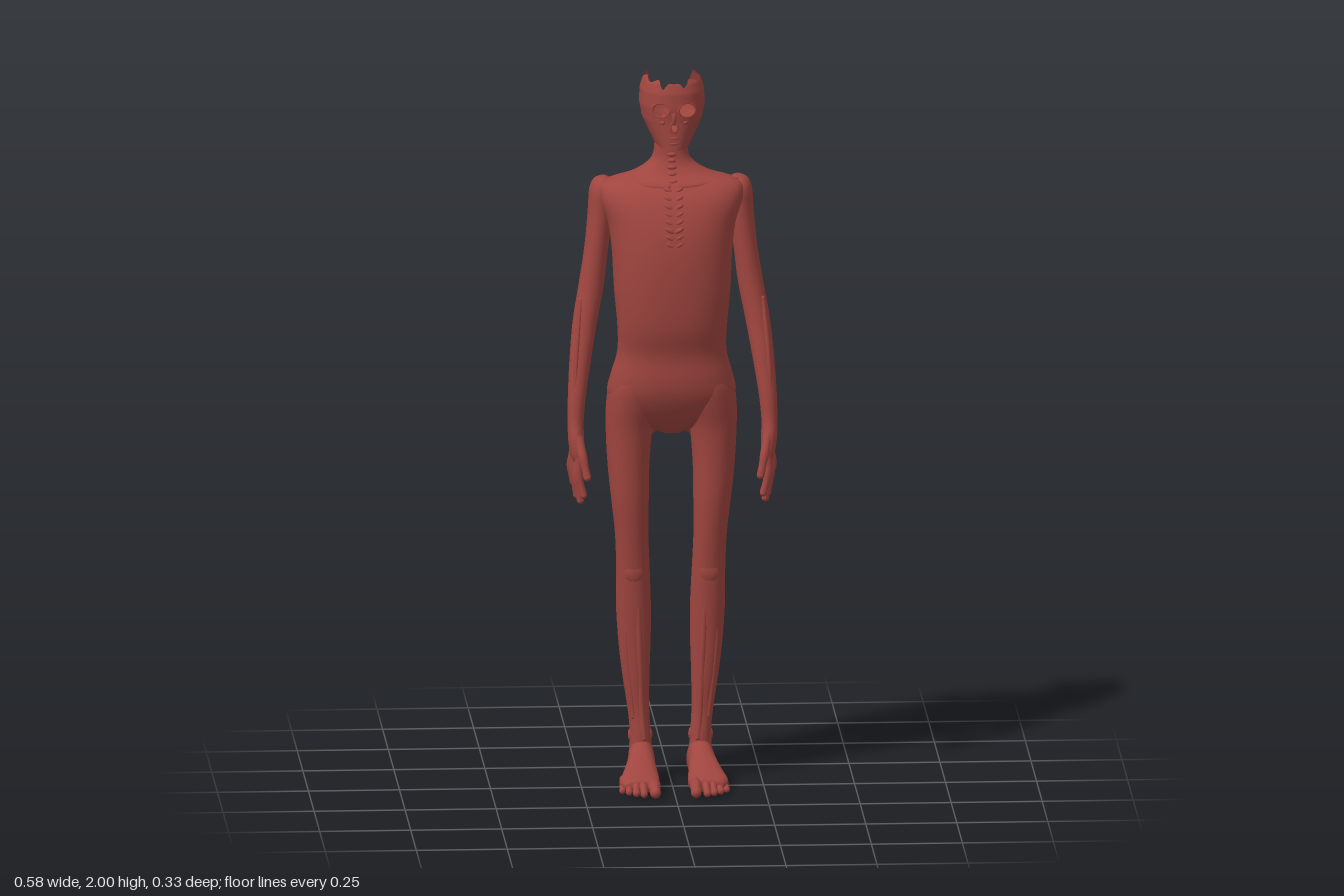
import * as THREE from 'three';

const flesh = new THREE.MeshStandardMaterial({ color: 0xa0453f });
const shellFlesh = new THREE.MeshStandardMaterial({ color: 0xa0453f, side: THREE.DoubleSide });
const V = (x, y, z) => new THREE.Vector3(x, y, z);
const spow = (c, n) => Math.sign(c) * Math.abs(c) ** (2 / n);

function add(parent, name, geo, pos = [0, 0, 0], scale = [1, 1, 1], rot = [0, 0, 0], mat = flesh) {
  const m = new THREE.Mesh(geo, mat);
  m.name = name;
  m.position.set(...pos); m.scale.set(...scale); m.rotation.set(...rot);
  parent.add(m);
}
const ball = new THREE.SphereGeometry(1, 16, 12);

// Closed skin over rings [y, cx, cz, rx, rz], listed upwards; rule can push single points
function loft(sections, { n = 2, sides = 32, steps = 5, rule = null } = {}) {
  const centre = new THREE.CatmullRomCurve3(sections.map(s => V(s[1], s[0], s[2])), false, 'catmullrom');
  const size = new THREE.CatmullRomCurve3(sections.map(s => V(s[3], 0, s[4])), false, 'catmullrom');
  const rows = (sections.length - 1) * steps, pos = [], idx = [];
  for (let i = 0; i <= rows; i++) {
    const c = centre.getPoint(i / rows), r = size.getPoint(i / rows);
    for (let j = 0; j < sides; j++) {
      const a = j / sides * Math.PI * 2;
      const p = V(c.x + r.x * spow(Math.cos(a), n), c.y, c.z + r.z * spow(Math.sin(a), n));
      if (rule) rule(p, c);
      pos.push(p.x, p.y, p.z);
    }
  }
  for (const t of [0, 1]) pos.push(...centre.getPoint(t).toArray());
  const lo = (rows + 1) * sides, top = rows * sides;
  for (let j = 0; j < sides; j++) {
    const k = (j + 1) % sides;
    for (let i = 0; i < rows; i++) {
      const a = i * sides + j, b = i * sides + k;
      idx.push(a, a + sides, b, b, a + sides, b + sides);
    }
    idx.push(lo, j, k, lo + 1, top + k, top + j);
  }
  return toGeometry(pos, idx);
}

function toGeometry(pos, idx) {
  const g = new THREE.BufferGeometry();
  g.setAttribute('position', new THREE.Float32BufferAttribute(pos, 3));
  g.setIndex(idx);
  g.computeVertexNormals();
  return g;
}

// Bone ridge or tendon with rounded ends
function strand(parent, name, pts, r) {
  const path = new THREE.CatmullRomCurve3(pts.map(p => V(...p)));
  add(parent, name, new THREE.TubeGeometry(path, 20, r, 8));
  for (const p of [pts[0], pts[pts.length - 1]]) add(parent, name + 'End', ball, p, [r, r, r]);
}

// Finger or toe: thick at the root, slightly knuckled, thinner at the tip
function digit(parent, name, a, b, r, bend) {
  const mid = a.map((v, i) => (v + b[i]) / 2 + bend[i]);
  const path = new THREE.CatmullRomCurve3([V(...a), V(...mid), V(...b)]);
  const g = new THREE.TubeGeometry(path, 12, r, 10), p = g.attributes.position;
  for (let i = 0; i < p.count; i++) {
    const t = Math.floor(i / 11) / 12, c = path.getPointAt(t);
    const k = 1.05 - 0.27 * t + 0.05 * Math.cos(t * Math.PI * 4);
    const q = V(0, 0, 0).fromBufferAttribute(p, i).sub(c).multiplyScalar(k).add(c);
    p.setXYZ(i, q.x, q.y, q.z);
  }
  g.computeVertexNormals();
  add(parent, name, g);
  add(parent, name + 'Tip', ball, b, [r * 0.83, r * 0.83, r * 0.83]);
}

// y, half width, front z, back z
const trunk = [
  [0.985, 0.03, -0.03, -0.09], [1.01, 0.085, 0, -0.12], [1.05, 0.15, 0.03, -0.145], [1.1, 0.176, 0.055, -0.152],
  [1.15, 0.168, 0.065, -0.142], [1.22, 0.15, 0.068, -0.122], [1.3, 0.151, 0.09, -0.122], [1.4, 0.16, 0.1, -0.132],
  [1.5, 0.165, 0.1, -0.15], [1.58, 0.175, 0.088, -0.163], [1.65, 0.197, 0.06, -0.163], [1.69, 0.185, 0.025, -0.148],
  [1.715, 0.105, -0.01, -0.132], [1.75, 0.055, -0.03, -0.12], [1.8, 0.045, -0.033, -0.112], [1.86, 0.045, -0.03, -0.105]];
const skull = [
  [1.77, 0.03, 0.05, -0.06], [1.8, 0.043, 0.075, -0.085], [1.84, 0.063, 0.075, -0.112], [1.88, 0.082, 0.075, -0.13],
  [1.92, 0.09, 0.078, -0.142], [1.96, 0.088, 0.076, -0.141], [1.985, 0.08, 0.068, -0.13], [2.01, 0.064, 0.05, -0.115]];
function at(table, y) {
  const i = Math.max(1, Math.min(table.length - 1, table.findIndex(r => r[0] >= y)));
  const a = table[i - 1], b = table[i], t = (y - a[0]) / (b[0] - a[0]);
  return a.map((v, k) => v + (b[k] - v) * t);
}

function buildTrunk(g) {
  const groove = (p, c) => { if (p.z < c.z) p.z += 0.013 * Math.exp(-((p.x / 0.025) ** 2)); };
  add(g, 'trunk', loft(trunk.map(([y, w, f, b]) => [y, 0, (f + b) / 2, w, (f - b) / 2]), { n: 2.3, sides: 64, rule: groove }));
  for (let y = 1.24; y < 1.8; y += 0.027) add(g, 'vertebra', ball, [0, y, at(trunk, y)[3] + 0.018], [0.01, 0.011, 0.01]);
  for (let y = 1.54; y < 1.69; y += 0.02) {
    const z = at(trunk, y)[2] - 0.004;
    for (const s of [-1, 1]) add(g, 'breastboneRidge', ball, [s * 0.012, y, z], [0.017, 0.007, 0.008], [0, 0, s * 0.5]);
  }
  for (let y = 1.7; y < 1.79; y += 0.017) add(g, 'throatRing', ball, [0, y, at(trunk, y)[2] - 0.005], [0.014, 0.007, 0.009]);
}

function buildHead(g) {
  // Hollow skull with a jagged open crown and pierced face
  const nA = 160, nV = 56, pos = [], idx = [];
  for (let i = 0; i <= nV; i++) for (let j = 0; j < nA; j++) {
    const a = j / nA * Math.PI * 2, s = Math.sin(a), c = Math.cos(a), back = Math.max(0, -s);
    const notch = s > 0 ? 0.025 * Math.exp(-(((Math.abs(c) - 0.33) / 0.12) ** 2)) : 0;
    const rim = 1.994 - 0.09 * back ** 5 - notch + 0.006 * Math.sin(a * 7);
    const low = 1.803 + 0.03 * (1 - s) / 2;
    const y = low + (rim - low) * i / nV, [, w, f, b] = at(skull, y);
    pos.push(w * spow(c, 2.25), y, (f + b) / 2 + (f - b) / 2 * spow(s, 2.25));
  }
  const hole = (x, y, z) => {
    x = Math.abs(x);
    const within = (u, v, ru, rv) => (u / ru) ** 2 + (v / rv) ** 2 < 1;
    if (z > 0.02) return within(x - 0.036, y - 1.915, 0.025, 0.02) || within(x, y - 1.868, 0.009, 0.013);
    return within(z + 0.01, y - 1.835, 0.014, 0.009);
  };
  for (let i = 0; i < nV; i++) for (let j = 0; j < nA; j++) {
    const a = i * nA + j, b = i * nA + (j + 1) % nA, d = b + nA;
    const mid = k => (pos[a * 3 + k] + pos[d * 3 + k]) / 2;
    if (!hole(mid(0), mid(1), mid(2))) idx.push(a, a + nA, b, b, a + nA, d);
  }
  add(g, 'skullShell', toGeometry(pos, idx), [0, 0, 0], [1, 1, 1], [0, 0, 0], shellFlesh);
  // Floor of the skull and the jaw
  add(g, 'skullFloor', ball, [0, 1.85, -0.035], [0.06, 0.02, 0.083]);
  add(g, 'skullOpening', new THREE.TorusGeometry(0.02, 0.008, 8, 24), [0, 1.872, -0.035], [1, 1.5, 1], [Math.PI / 2, 0, 0]);
  add(g, 'jawFloor', ball, [0, 1.814, 0.01], [0.036, 0.011, 0.058]);
  add(g, 'noseBridge', ball, [0, 1.893, 0.073], [0.007, 0.02, 0.008]);
  add(g, 'noseRim', new THREE.TorusGeometry(0.01, 0.003, 8, 20), [0, 1.868, 0.074], [1, 1.35, 1]);
  strand(g, 'upperLip', [[-0.028, 1.832, 0.06], [0, 1.838, 0.074], [0.028, 1.832, 0.06]], 0.004);
  strand(g, 'lowerLip', [[-0.026, 1.823, 0.06], [0, 1.822, 0.074], [0.026, 1.823, 0.06]], 0.004);
  add(g, 'backOfSkullKnob', ball, [0, 1.9, -0.133], [0.03, 0.014, 0.01]);
  for (const s of [-1, 1]) {
    add(g, 'eyeSocketRim', new THREE.TorusGeometry(0.025, 0.003, 8, 28), [s * 0.036, 1.915, 0.067], [1, 0.8, 1], [0, s * 0.35, 0]);
    strand(g, 'cheekbone', [[s * 0.03, 1.88, 0.068], [s * 0.06, 1.884, 0.035], [s * 0.079, 1.888, -0.03]], 0.006);
  }
}

function buildSide(g) {
  // Arm and palm
  add(g, 'arm', loft([[0.912, 0.26, 0, 0.008, 0.025], [0.935, 0.262, 0.002, 0.018, 0.04], [0.98, 0.265, 0.003, 0.022, 0.038],
    [1.03, 0.266, 0, 0.022, 0.027], [1.1, 0.262, -0.01, 0.025, 0.029], [1.2, 0.251, -0.032, 0.03, 0.034],
    [1.3, 0.237, -0.055, 0.034, 0.038], [1.4, 0.219, -0.068, 0.035, 0.037], [1.5, 0.205, -0.077, 0.033, 0.042],
    [1.6, 0.193, -0.086, 0.035, 0.05], [1.66, 0.189, -0.088, 0.035, 0.052], [1.688, 0.187, -0.09, 0.026, 0.038],
    [1.698, 0.185, -0.09, 0.01, 0.015]]));
  const fingers = [[0.83, 0.247, 0.04], [0.81, 0.254, 0.014], [0.818, 0.262, -0.018], [0.85, 0.27, -0.046]];
  fingers.forEach(([y, x, z], i) => digit(g, 'finger', [0.257 + i * 0.004, 0.945, 0.031 - i * 0.02], [x, y, z], 0.012, [0.008, 0, 0]));
  digit(g, 'thumb', [0.26, 0.99, 0.025], [0.238, 0.885, 0.065], 0.013, [0, 0, 0.008]);
  strand(g, 'forearmTendon', [[0.25, 1.36, -0.04], [0.263, 1.22, -0.007], [0.27, 1.06, 0.014]], 0.007);
  add(g, 'elbow', ball, [0.234, 1.33, -0.08], [0.015, 0.03, 0.01]);

  // Collarbone and shoulder blade
  strand(g, 'collarbone', [[0.015, 1.687, 0.022], [0.08, 1.69, 0.008], [0.14, 1.693, -0.035], [0.195, 1.685, -0.075]], 0.009);
  strand(g, 'shoulderBladeRidge', [[0.2, 1.675, -0.105], [0.13, 1.665, -0.138], [0.065, 1.65, -0.155]], 0.009);
  strand(g, 'shoulderBladeEdge', [[0.065, 1.65, -0.155], [0.075, 1.59, -0.153], [0.105, 1.52, -0.13]], 0.007);

  // Buttock and leg
  add(g, 'buttock', ball, [0.083, 1.06, -0.085], [0.078, 0.095, 0.068]);
  add(g, 'leg', loft([[0.05, 0.082, -0.1, 0.034, 0.04], [0.13, 0.083, -0.095, 0.029, 0.034], [0.2, 0.088, -0.098, 0.03, 0.033],
    [0.3, 0.095, -0.099, 0.038, 0.044], [0.4, 0.099, -0.096, 0.045, 0.048], [0.5, 0.102, -0.092, 0.048, 0.053],
    [0.6, 0.104, -0.081, 0.046, 0.052], [0.7, 0.108, -0.073, 0.046, 0.059], [0.8, 0.113, -0.066, 0.052, 0.066],
    [0.9, 0.117, -0.065, 0.058, 0.072], [1.0, 0.115, -0.061, 0.065, 0.078], [1.07, 0.105, -0.054, 0.074, 0.088],
    [1.13, 0.095, -0.045, 0.074, 0.09], [1.19, 0.08, -0.03, 0.055, 0.07]], { n: 2.1 }));
  add(g, 'kneecap', ball, [0.104, 0.595, -0.042], [0.028, 0.036, 0.014]);
  strand(g, 'shinBone', [[0.095, 0.56, -0.046], [0.088, 0.4, -0.054], [0.08, 0.2, -0.07], [0.074, 0.12, -0.068]], 0.009);
  strand(g, 'calfTendon', [[0.125, 0.55, -0.055], [0.122, 0.38, -0.063], [0.102, 0.18, -0.076]], 0.008);
  for (const x of [0.059, 0.107]) add(g, 'ankleBone', ball, [x, 0.125, -0.097], [0.01, 0.02, 0.018]);

  // Foot, lofted from heel to ball
  const foot = [[-0.152, 0.08, 0.035, 0.012, 0.018], [-0.135, 0.08, 0.045, 0.032, 0.043], [-0.08, 0.081, 0.057, 0.036, 0.057],
    [-0.02, 0.085, 0.05, 0.04, 0.046], [0.03, 0.09, 0.036, 0.049, 0.033], [0.07, 0.094, 0.026, 0.055, 0.023],
    [0.1, 0.088, 0.02, 0.044, 0.015]].map(([z, x, y, rx, ry]) => [z, x, -y, rx, ry]);
  add(g, 'foot', loft(foot, { n: 2.3 }).rotateX(Math.PI / 2));
  const toes = [[0.056, 0.152, 0.018], [0.087, 0.144, 0.0125], [0.107, 0.131, 0.012], [0.126, 0.114, 0.0115], [0.143, 0.091, 0.011]];
  toes.forEach(([x, z, r]) => digit(g, 'toe', [x * 0.9 + 0.007, 0.024, z - 0.075], [x, r * 0.85, z], r, [0, 0.006, 0]));
}

export function createModel() {
  const model = new THREE.Group();
  model.name = 'anatomicalFigure';
  const parts = { torso: buildTrunk, head: buildHead, leftSide: buildSide, rightSide: buildSide };
  for (const [name, build] of Object.entries(parts)) {
    const g = new THREE.Group();
    g.name = name;
    build(g);
    if (name === 'rightSide') g.scale.x = -1;
    model.add(g);
  }
  return model;
}
